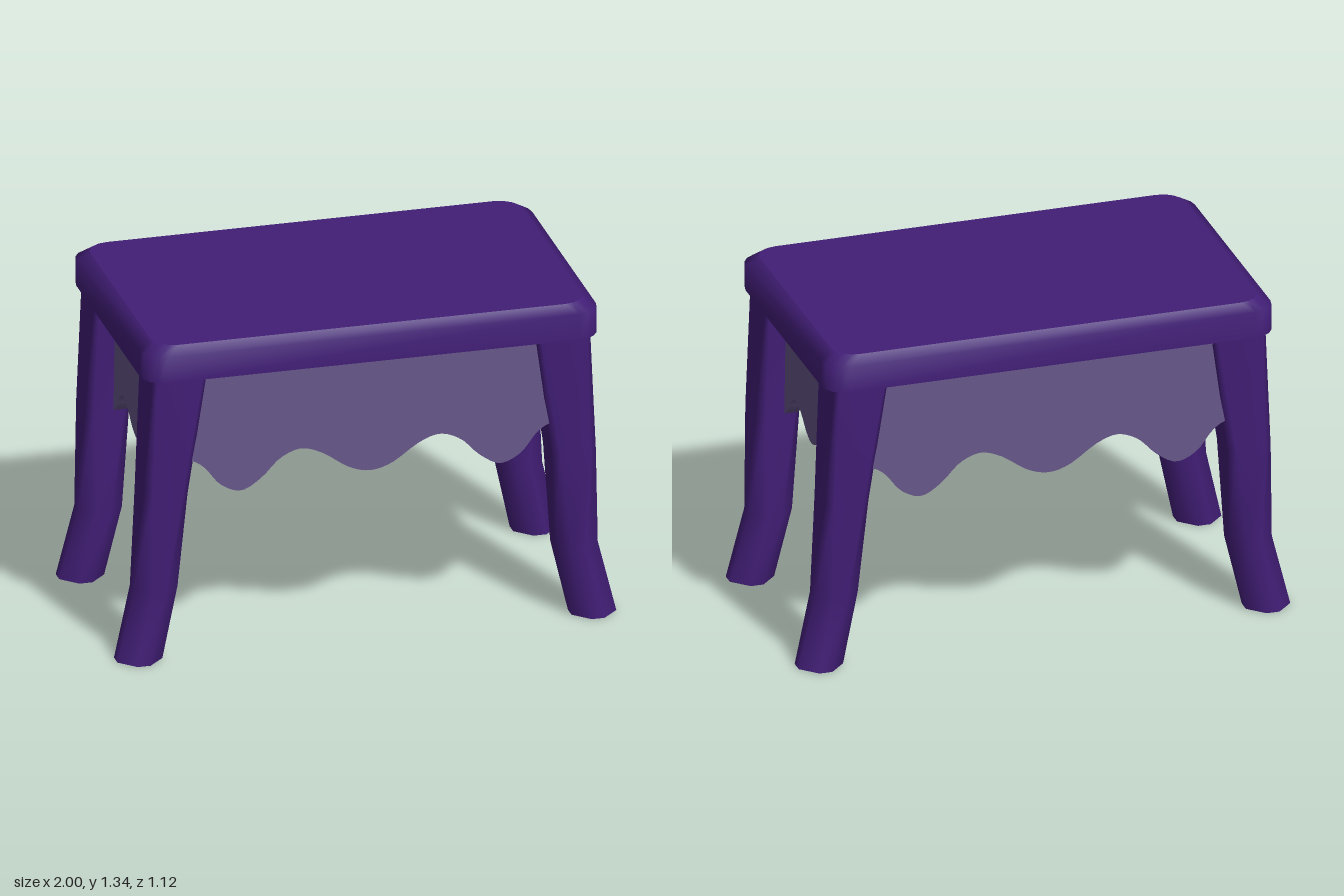
import * as THREE from 'three';

const purple = new THREE.MeshStandardMaterial({ color: 0x421e77 });
purple.name = 'deep purple';
const mauve = new THREE.MeshStandardMaterial({ color: 0x665789 });
mauve.name = 'greyed mauve';

// Skin a stack of equal-length rings (bottom to top); smooth sides, flat end caps.
function loft(rings) {
  const n = rings[0].length;
  const pos = [], idx = [];
  rings.forEach(r => r.forEach(p => pos.push(p.x, p.y, p.z)));
  for (let i = 0; i < rings.length - 1; i++) {
    for (let j = 0; j < n; j++) {
      const a = i * n + j, b = i * n + (j + 1) % n;
      idx.push(a, a + n, b, b, a + n, b + n);
    }
  }
  [[rings[0], false], [rings[rings.length - 1], true]].forEach(([ring, up]) => {
    const c = pos.length / 3;
    const mid = new THREE.Vector3();
    ring.forEach(p => mid.addScaledVector(p, 1 / n));
    pos.push(mid.x, mid.y, mid.z);
    ring.forEach(p => pos.push(p.x, p.y, p.z));
    for (let j = 0; j < n; j++) {
      const a = c + 1 + j, b = c + 1 + (j + 1) % n;
      if (up) idx.push(c, b, a); else idx.push(c, a, b);
    }
  });
  const g = new THREE.BufferGeometry();
  g.setAttribute('position', new THREE.Float32BufferAttribute(pos, 3));
  g.setIndex(idx);
  g.computeVertexNormals();
  return g;
}

// Rounded rectangle ring at height y; steps = 1 gives plain chamfered corners
function roundedRing(hx, hz, r, y, steps, cx = 0, cz = 0) {
  const pts = [];
  [[1, 1], [-1, 1], [-1, -1], [1, -1]].forEach(([sx, sz], q) => {
    for (let k = 0; k <= steps; k++) {
      const a = (q + k / steps) * Math.PI / 2;
      pts.push(new THREE.Vector3(
        cx + sx * (hx - r) + r * Math.cos(a), y, cz + sz * (hz - r) + r * Math.sin(a)));
    }
  });
  return pts;
}

// Panel with a straight top and a wavy lower edge, mirrored about its middle
function apron(halfWave, depth) {
  const wave = [...halfWave.slice(1).reverse().map(([x, y]) => [-x, y]), ...halfWave];
  const half = wave[wave.length - 1][0];
  const curve = new THREE.CatmullRomCurve3(wave.map(([x, y]) => new THREE.Vector3(x, y, 0)));
  const s = new THREE.Shape();
  s.moveTo(half, 1.205);
  s.lineTo(-half, 1.205);
  curve.getPoints(72).forEach(p => s.lineTo(p.x, p.y));
  s.closePath();
  const g = new THREE.ExtrudeGeometry(s, { depth, bevelEnabled: false });
  return g.translate(0, 0, -depth / 2);
}

export function createModel() {
  const group = new THREE.Group();
  const add = (name, geo, mat) => {
    const m = new THREE.Mesh(geo, mat);
    m.name = name;
    group.add(m);
    return m;
  };

  // Top slab with a bevelled upper edge
  add('tableTop', loft([
    roundedRing(0.914, 0.561, 0.09, 1.197, 4),
    roundedRing(0.914, 0.561, 0.09, 1.305, 4),
    roundedRing(0.865, 0.53, 0.09, 1.34, 4),
  ]), purple);

  // Curved legs, square at the top and chamfered towards the foot:
  // height, inner x, outer x, inner z, outer z, chamfer
  const sections = [
    [0, 0.82, 1.0, 0.34, 0.52, 0.064],
    [0.29, 0.755, 0.93, 0.323, 0.498, 0.058],
    [0.7, 0.73, 0.907, 0.34, 0.525, 0.028],
    [1.21, 0.66, 0.877, 0.315, 0.54, 0.016],
  ];
  for (const sx of [1, -1]) {
    for (const sz of [1, -1]) {
      const name = (sz > 0 ? 'front' : 'back') + (sx > 0 ? 'Left' : 'Right') + 'Leg';
      const rings = sections.map(([y, x0, x1, z0, z1, c]) => roundedRing(
        (x1 - x0) / 2, (z1 - z0) / 2, c, y, 1, sx * (x0 + x1) / 2, sz * (z0 + z1) / 2));
      add(name, loft(rings), purple);
    }
  }

  // Scalloped aprons between the legs
  const longWave = [[0, 0.72], [0.08, 0.74], [0.2, 0.818], [0.28, 0.842], [0.36, 0.812],
    [0.44, 0.735], [0.52, 0.692], [0.6, 0.725], [0.67, 0.808], [0.72, 0.838], [0.78, 0.84]];
  const shortWave = [[0, 0.735], [0.06, 0.755], [0.13, 0.808], [0.19, 0.832], [0.25, 0.805],
    [0.3, 0.745], [0.35, 0.71], [0.42, 0.705]];
  for (const s of [1, -1]) {
    add(s > 0 ? 'frontApron' : 'backApron', apron(longWave, 0.055), mauve).position.z = s * 0.4825;
    const side = add(s > 0 ? 'leftApron' : 'rightApron', apron(shortWave, 0.055), mauve);
    side.position.x = s * 0.7725;
    side.rotation.y = Math.PI / 2;
  }
  return group;
}
